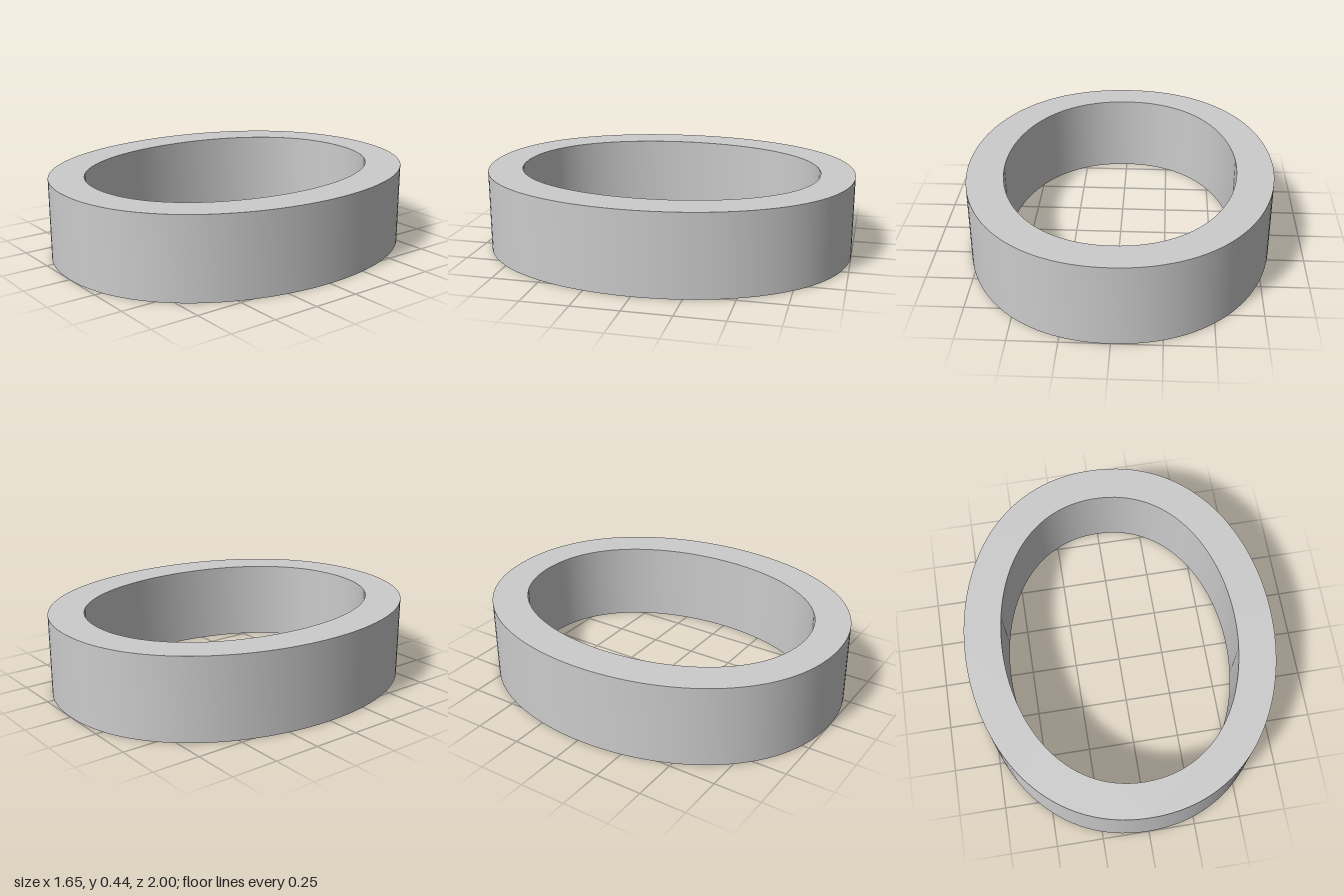
import * as THREE from 'three';
import { toCreasedNormals } from 'three/addons/utils/BufferGeometryUtils.js';

const HEIGHT = 0.435;

// Oval from two mirrored cubic curves; they bulge to 3/4 of their control points
function oval(path, halfWidth, halfLength) {
  const c = halfWidth / 0.75;
  path.moveTo(0, -halfLength);
  path.bezierCurveTo(c, -halfLength, c, halfLength, 0, halfLength);
  path.bezierCurveTo(-c, halfLength, -c, -halfLength, 0, -halfLength);
  return path;
}

export function createModel() {
  const model = new THREE.Group();
  model.name = 'ovalRing';

  // Flat-topped oval band with an oval opening
  const shape = oval(new THREE.Shape(), 0.825, 1);
  shape.holes.push(oval(new THREE.Path(), 0.627, 0.817));
  const extruded = new THREE.ExtrudeGeometry(shape, {
    depth: HEIGHT, bevelEnabled: false, curveSegments: 64,
  });
  extruded.rotateX(-Math.PI / 2);

  const band = new THREE.Mesh(
    toCreasedNormals(extruded, Math.PI / 6),
    new THREE.MeshStandardMaterial({ color: 0xcccccc }),
  );
  band.name = 'band';
  model.add(band);
  return model;
}
